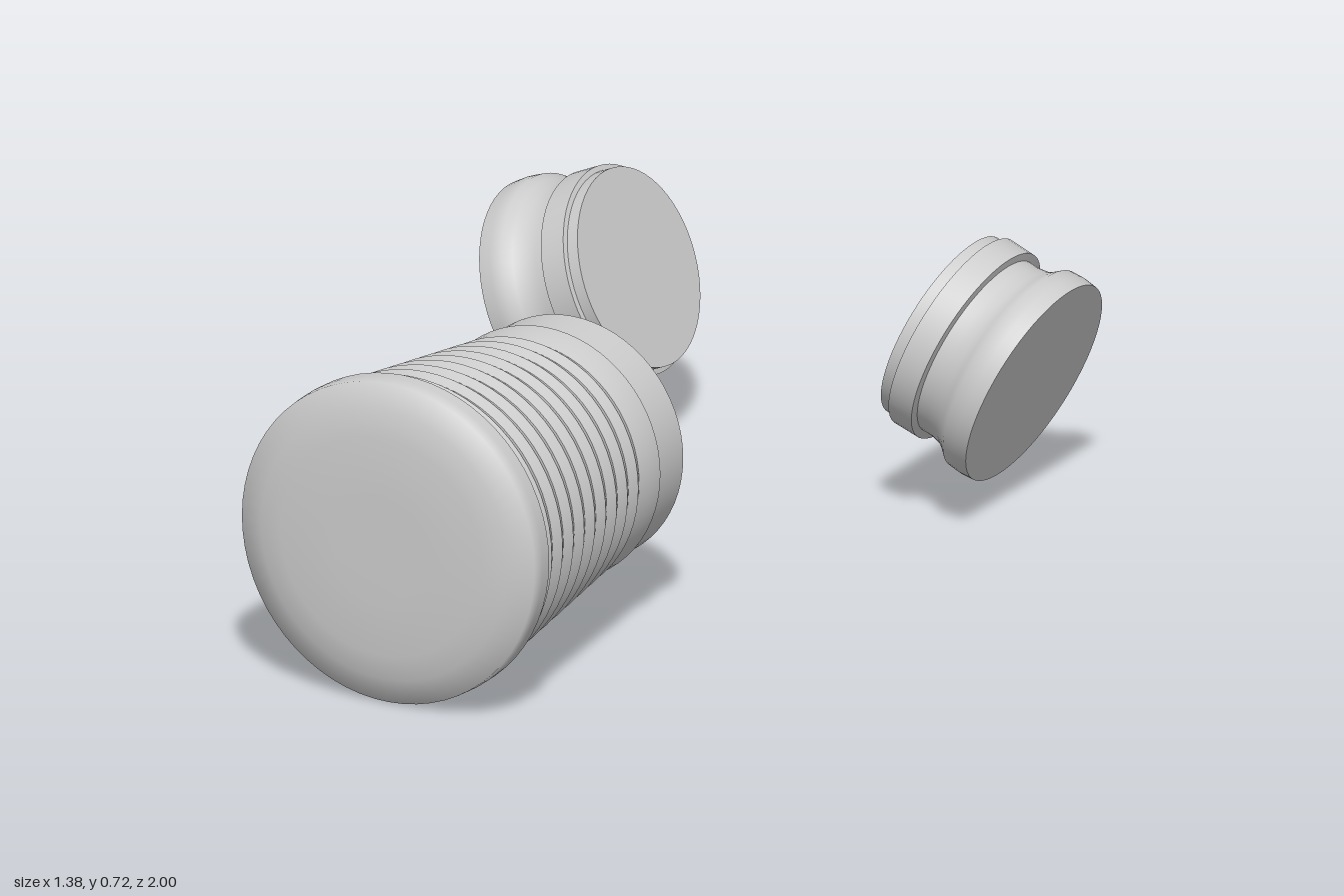
import * as THREE from 'three';
import { toCreasedNormals } from 'three/addons/utils/BufferGeometryUtils.js';

const grey = new THREE.MeshStandardMaterial({ color: 0xcccccc });
grey.name = 'light grey';

// Turns a profile of [radius, height] points into a round part
function turned(name, profile, crease) {
  const points = profile.map(([r, h]) => new THREE.Vector2(r, h));
  let geometry = new THREE.LatheGeometry(points, 64);
  if (crease) geometry = toCreasedNormals(geometry, crease);
  const mesh = new THREE.Mesh(geometry, grey);
  mesh.name = name;
  return mesh;
}

// Widening row of ridges, pushed inwards by inset for the inner wall
function ridges(inset) {
  const count = 9, start = 0.37, pitch = 0.059, points = [];
  for (let i = 0; i < count; i++) {
    const z = start + i * pitch;
    const r = 0.274 + 0.0073 * i - inset;
    points.push([r, z], [r + 0.015, z + pitch / 2]);
  }
  points.push([0.337 - inset, 0.902]);
  return points;
}

function createSleeve() {
  const sleeve = new THREE.Group();
  sleeve.name = 'ribbedSleeve';

  // Inner wall, open at the neck
  sleeve.add(turned('innerWall', [
    [0, 0.96], [0.317, 0.96],
    ...ridges(0.02).reverse(),
    [0.262, 0.33], [0.25, 0.295], [0.25, 0.18],
  ], 0.6));

  // Neck, collar and ridged outer wall
  sleeve.add(turned('outerWall', [
    [0.25, 0.18], [0.273, 0.18], [0.273, 0.295], [0.283, 0.295], [0.281, 0.335],
    ...ridges(0),
    [0.337, 0.905], [0.361, 0.905],
  ], 0.6));

  // Rounded front cap
  sleeve.add(turned('frontCap', [
    [0.36, 0.905], [0.361, 0.935], [0.359, 0.966], [0.302, 0.984], [0.245, 0.998], [0.12, 1], [0, 1],
  ]));

  sleeve.rotation.x = Math.PI / 2;
  sleeve.position.y = 0.363;
  return sleeve;
}

// Grooved plug tilted towards the middle
function createPlug(name, side) {
  const plug = turned(name, [
    [0, 0], [0.243, 0], [0.246, 0.03], [0.244, 0.06], [0.229, 0.078],
    [0.217, 0.097], [0.212, 0.125], [0.212, 0.152],
    [0.23, 0.154], [0.231, 0.214], [0.219, 0.216], [0.219, 0.243], [0, 0.243],
  ], 0.75);
  plug.position.set(side * 0.597, 0.305, -0.755);
  plug.rotation.z = side * 1.18;
  return plug;
}

export function createModel() {
  const model = new THREE.Group();
  model.name = 'sleeveWithPlugs';
  model.add(createSleeve(), createPlug('leftPlug', 1), createPlug('rightPlug', -1));
  return model;
}
